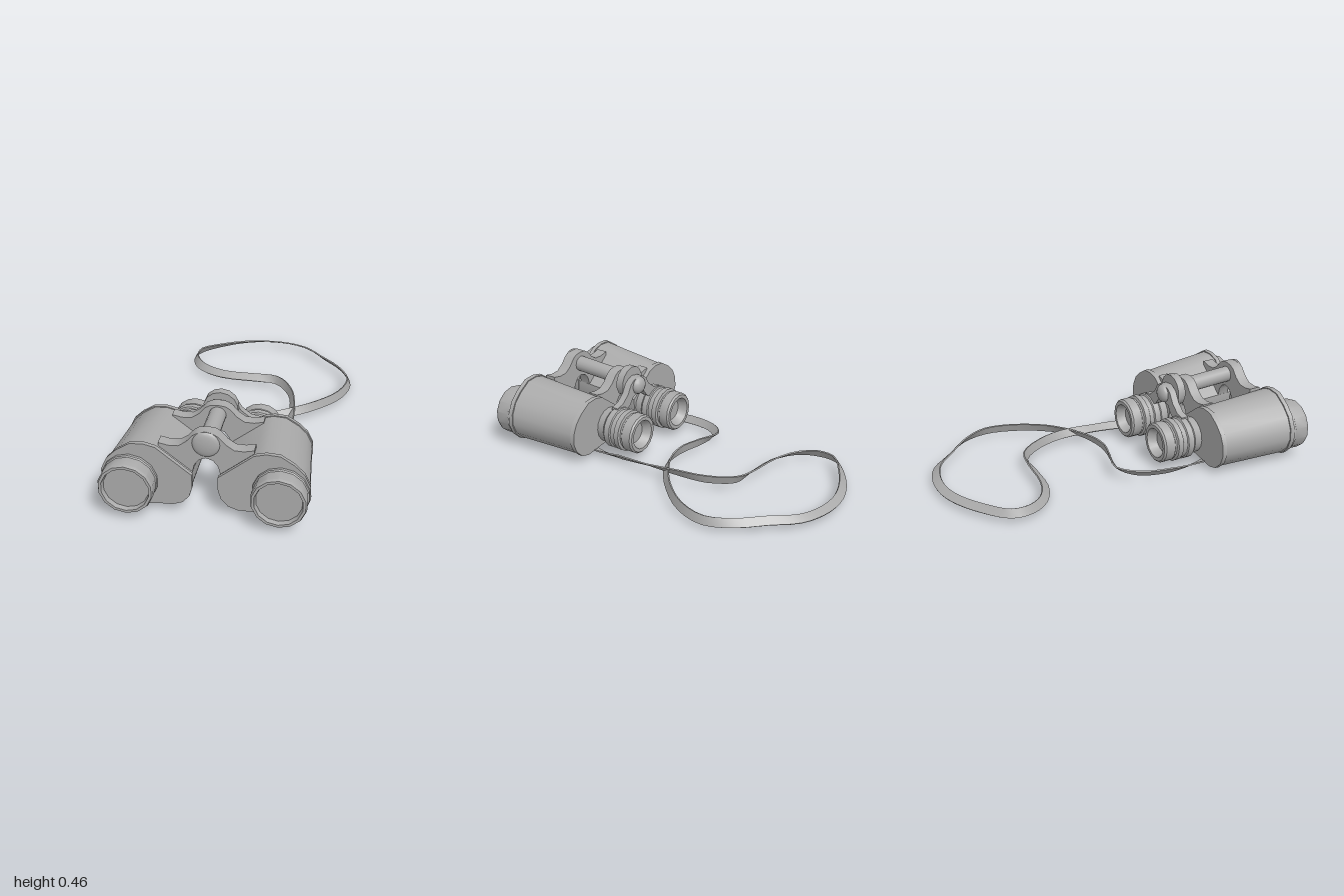
import * as THREE from 'three';
import { toCreasedNormals } from 'three/addons/utils/BufferGeometryUtils.js';

const grey = new THREE.MeshStandardMaterial({ color: 0xaaaaaa });
grey.name = 'grey';

function part(name, geometry, crease = 0.6) {
  const mesh = new THREE.Mesh(toCreasedNormals(geometry, crease), grey);
  mesh.name = name;
  return mesh;
}

// Flip a geometry in x and restore the corner order
function mirror(geometry) {
  const g = geometry.index ? geometry.toNonIndexed() : geometry.clone();
  g.scale(-1, 1, 1);
  for (const a of Object.values(g.attributes)) {
    const n = a.itemSize;
    for (let i = 0; i < a.count; i += 3)
      for (let k = 0; k < n; k++) {
        const p = (i + 1) * n + k, q = (i + 2) * n + k;
        [a.array[p], a.array[q]] = [a.array[q], a.array[p]];
      }
  }
  return g;
}

const shapeOf = pts => new THREE.Shape(pts.map(([x, y]) => new THREE.Vector2(x, y)));

function plate(pts, z0, z1) {
  const g = new THREE.ExtrudeGeometry(shapeOf(pts), { depth: z1 - z0, bevelEnabled: false });
  return g.translate(0, 0, z0);
}

// Symmetric plate from the right half of its outline, listed from bottom centre to top centre
function symmetricPlate(half, z0, z1) {
  const left = half.filter(p => p[0] > 0).reverse().map(([x, y]) => [-x, y]);
  return plate([...half, ...left], z0, z1);
}

// Turned part along z; profile holds [radius, z] with z rising on the outside
function turned(profile, x, y, sides) {
  const g = new THREE.LatheGeometry(profile.map(([r, z]) => new THREE.Vector2(r, z)), sides);
  return g.rotateX(Math.PI / 2).translate(x, y, 0);
}

function rod(r, y, z0, z1, sides) {
  return turned([[0, z0], [r, z0], [r, z1], [0, z1]], 0, y, sides);
}

// Prism housing outline at its front end
const housing = [
  [0.07, 0.225], [0.07, 0.16], [0.085, 0.11], [0.12, 0.07], [0.17, 0.052], [0.25, 0.05],
  [0.32, 0.04], [0.39, 0.032], [0.45, 0.05], [0.5, 0.1], [0.523, 0.16], [0.52, 0.22],
  [0.49, 0.285], [0.44, 0.335], [0.37, 0.38], [0.3, 0.385], [0.25, 0.37],
];

// Housing slice that narrows toward the back; grow widens it for the end rims
function housingSlice(z0, z1, grow = 0) {
  const pts = housing.map(([x, y]) => [x + grow * Math.sign(x - 0.28), y + grow * Math.sign(y - 0.2)]);
  const g = plate(pts, z0, z1), p = g.attributes.position;
  for (let i = 0; i < p.count; i++) {
    const t = (0.89 - p.getZ(i)) / 0.45;
    p.setX(i, 0.07 + (p.getX(i) - 0.07) * (1 - 0.08 * t));
    p.setY(i, 0.035 + (p.getY(i) - 0.035) * (1 - 0.11 * t));
  }
  return g;
}

// Flat strap: each row is x, y, z and tilt
const strapPath = [
  [-0.32, 0.025, 0.52, 0], [-0.355, 0.03, 0.38, -0.5], [-0.37, 0.04, 0.2, -0.9],
  [-0.335, 0.05, 0.03, -0.9], [-0.25, 0.06, -0.055, -0.7], [-0.12, 0.06, -0.03, -1.3],
  [0, 0.06, 0, -1.4], [0.12, 0.06, -0.005, -1.2], [0.25, 0.065, -0.06, -0.9],
  [0.4, 0.06, -0.18, -1.2], [0.52, 0.05, -0.34, -1.25], [0.562, 0.047, -0.51, -1.2],
  [0.5, 0.05, -0.66, -0.9], [0.38, 0.05, -0.79, -0.8], [0.27, 0.047, -0.91, -0.6],
  [0.14, 0.045, -0.965, -0.5], [0, 0.043, -0.975, -0.5], [-0.13, 0.045, -0.945, -0.6],
  [-0.28, 0.048, -0.865, -0.8], [-0.4, 0.05, -0.76, -1.1], [-0.405, 0.05, -0.65, -1.1],
  [-0.34, 0.05, -0.55, -0.8], [-0.2, 0.05, -0.48, -0.6], [0, 0.055, -0.46, -0.7],
  [0.13, 0.06, -0.44, -1.2], [0.225, 0.065, -0.31, -1.3], [0.262, 0.07, -0.15, -1.1],
  [0.268, 0.06, 0.05, -0.6], [0.262, 0.045, 0.25, -0.8], [0.25, 0.03, 0.4, -0.4],
  [0.22, 0.025, 0.52, 0],
];

function strapGeometry(width, thick, steps) {
  const curve = new THREE.CatmullRomCurve3(strapPath.map(p => new THREE.Vector3(p[0], p[1], p[2])));
  const up = new THREE.Vector3(0, 1, 0), pos = [], index = [];
  for (let i = 0; i <= steps; i++) {
    const t = i / steps, f = t * (strapPath.length - 1);
    const k = Math.min(Math.floor(f), strapPath.length - 2);
    const tilt = THREE.MathUtils.lerp(strapPath[k][3], strapPath[k + 1][3], f - k);
    const c = curve.getPoint(t), T = curve.getTangent(t);
    const side = T.clone().cross(up).normalize();
    const W = side.multiplyScalar(Math.cos(tilt)).addScaledVector(up, Math.sin(tilt));
    const N = T.clone().cross(W).normalize();
    for (const [w, n] of [[1, 1], [-1, 1], [-1, -1], [1, -1]]) {
      const v = c.clone().addScaledVector(W, w * width / 2).addScaledVector(N, n * thick / 2);
      pos.push(v.x, v.y, v.z);
    }
    if (i < steps) for (let j = 0; j < 4; j++) {
      const a = i * 4 + j, b = i * 4 + (j + 1) % 4;
      index.push(a, b, b + 4, a, b + 4, a + 4);
    }
  }
  const e = steps * 4;
  index.push(0, 2, 1, 0, 3, 2, e, e + 1, e + 2, e, e + 2, e + 3);
  const g = new THREE.BufferGeometry();
  g.setAttribute('position', new THREE.Float32BufferAttribute(pos, 3));
  g.setIndex(index);
  return g;
}

export function createModel() {
  const model = new THREE.Group();
  model.name = 'binoculars';
  const body = new THREE.Group();
  body.name = 'opticsBody';
  body.position.x = -0.05;
  model.add(body);

  // Parts found on both sides
  const objective = turned([
    [0, 0.86], [0.136, 0.86], [0.144, 0.89], [0.144, 0.905], [0.138, 0.91], [0.142, 0.98],
    [0.136, 0.995], [0.122, 0.995], [0.116, 0.97], [0, 0.97],
  ], 0.38, 0.18, 14);
  const eyepiece = turned([
    [0, 0.24], [0.062, 0.24], [0.085, 0.19], [0.105, 0.19], [0.114, 0.2], [0.114, 0.255],
    [0.108, 0.26], [0.108, 0.27], [0.122, 0.275], [0.122, 0.305], [0.114, 0.31], [0.114, 0.335],
    [0.122, 0.34], [0.122, 0.375], [0.108, 0.39], [0.1, 0.45], [0, 0.45],
  ], 0.18, 0.15, 16);
  const lug = new THREE.BoxGeometry(0.055, 0.045, 0.06).translate(0.27, 0.0225, 0.53);
  const pairs = {
    Housing: housingSlice(0.45, 0.88),
    FrontRim: housingSlice(0.865, 0.89, 0.005),
    BackRim: housingSlice(0.435, 0.46, 0.005),
    ObjectiveBarrel: objective,
    Eyepiece: eyepiece,
    StrapLug: lug,
  };
  for (const [name, g] of Object.entries(pairs)) {
    body.add(part('left' + name, g), part('right' + name, mirror(g)));
  }

  // Hinge arms joining the two housings
  const arm = [
    [0, 0.31], [0.035, 0.298], [0.06, 0.265], [0.072, 0.215], [0.12, 0.24], [0.24, 0.34],
    [0.24, 0.377], [0.19, 0.366], [0.14, 0.368], [0.1, 0.395], [0.065, 0.435], [0.04, 0.45], [0, 0.455],
  ];
  body.add(part('frontHingeArm', symmetricPlate(arm, 0.78, 0.845)));
  body.add(part('rearHingeArm', symmetricPlate(arm, 0.465, 0.525).translate(0, -0.03, 0)));

  // Hinge shaft with domed front cap
  const shaft = rod(0.045, 0, -0.2, 0.2, 16);
  shaft.rotateX(-0.05).translate(0, 0.376, 0.64);
  body.add(part('hingeShaft', shaft));
  const cap = new THREE.SphereGeometry(0.07, 20, 12);
  cap.rotateX(Math.PI / 2).scale(1, 1, 0.28).translate(0, 0.39, 0.845);
  body.add(part('hingeCap', cap));

  // Focus wheel, eyepiece bridge and rear knob
  body.add(part('focusWheel', rod(0.092, 0.36, 0.395, 0.44, 14)));
  body.add(part('focusSpindle', rod(0.04, 0.36, 0.35, 0.47, 12)));
  const bridge = [
    [0, 0.305], [0.05, 0.295], [0.08, 0.255], [0.12, 0.23], [0.2, 0.25], [0.2, 0.275],
    [0.15, 0.285], [0.1, 0.325], [0.07, 0.375], [0.04, 0.395], [0, 0.4],
  ];
  body.add(part('eyepieceBridge', symmetricPlate(bridge, 0.35, 0.39)));
  const knob = new THREE.SphereGeometry(0.052, 16, 10);
  knob.scale(1, 1, 0.65).translate(0, 0.35, 0.35);
  body.add(part('rearKnob', knob));

  // Carrying strap
  model.add(part('strap', strapGeometry(0.05, 0.008, 90), 0.4));
  return model;
}
